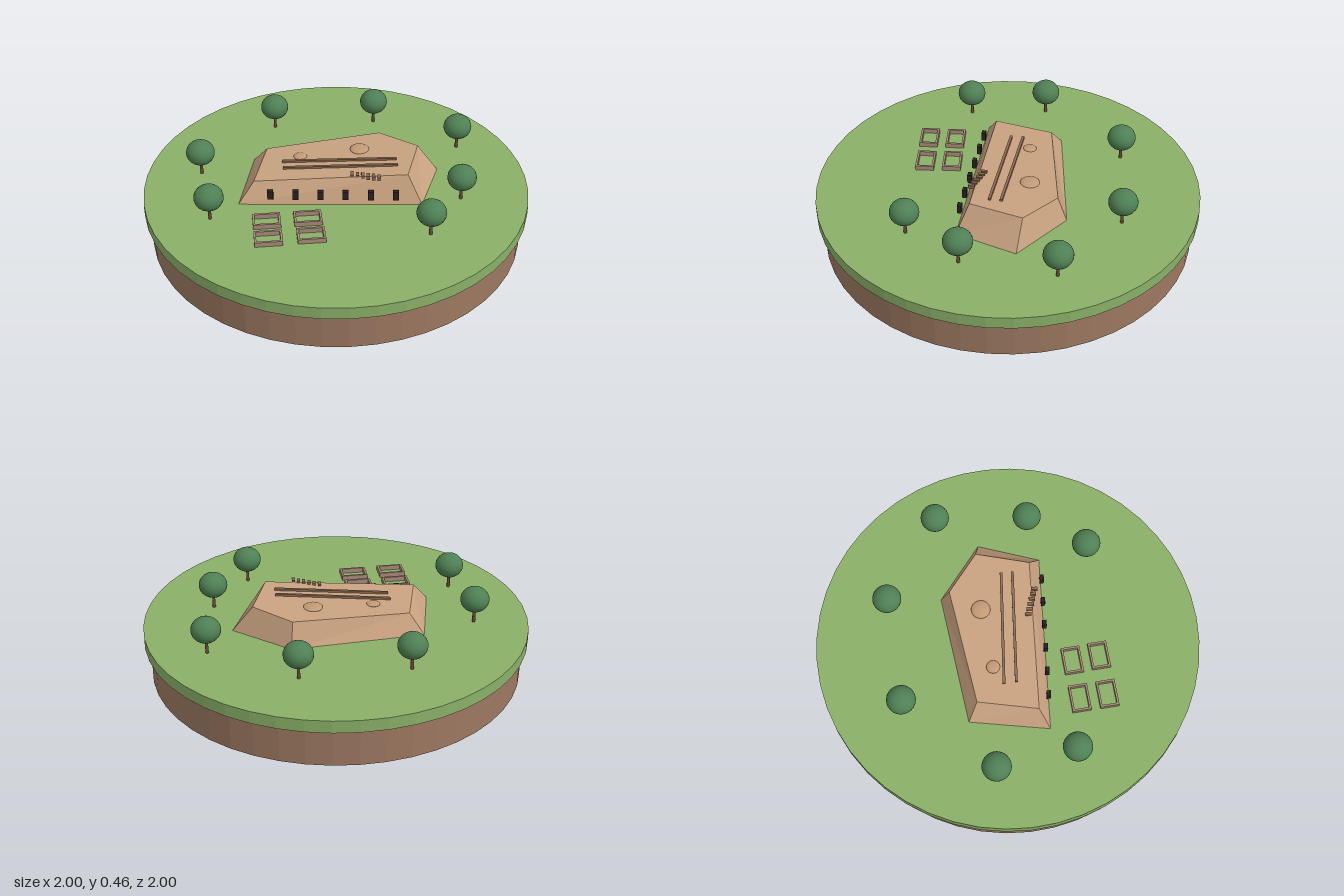
import * as THREE from 'three';

const mat = (name, color, flatShading = false) => {
  const m = new THREE.MeshStandardMaterial({ color, flatShading });
  m.name = name;
  return m;
};

const GROUND = 0.265;
// Gently tilted plane of the mesa top
const topY = (x, z) => 0.388 + 0.035 * x + 0.04 * z;

export function createModel() {
  const root = new THREE.Group();
  root.name = 'mesaVillage';
  const earth = mat('earth', 0x9c7860, true);
  const grass = mat('grass', 0x8ab068, true);
  const stone = mat('sandstone', 0xc8a280, true);
  const dome = mat('clay', 0xc39a76);
  const ridge = mat('darkClay', 0x8c6a50);
  const wall = mat('ruinWall', 0xa88a78);
  const opening = mat('darkOpening', 0x2a2022);
  const leaf = mat('foliage', 0x4f8054);
  const bark = mat('bark', 0x6b4a38);

  const add = (name, geo, material, x, y, z, parent = root) => {
    const m = new THREE.Mesh(geo, material);
    m.name = name;
    m.position.set(x, y, z);
    parent.add(m);
    return m;
  };

  // Round base
  add('earthBase', new THREE.CylinderGeometry(0.97, 0.97, 0.2, 48), earth, 0, 0.1, 0);
  add('grassDisc', new THREE.CylinderGeometry(1, 1, 0.065, 48), grass, 0, 0.2325, 0);

  // Mesa: five-sided block tapering to a tilted top, corners anticlockwise from above
  const foot = [[-0.53, -0.05], [0.31, 0.365], [0.54, 0.12], [0.365, -0.2], [-0.295, -0.395]];
  const rim = [[-0.435, -0.065], [0.27, 0.28], [0.45, 0.06], [0.335, -0.16], [-0.25, -0.32]];
  const pos = [];
  const low = (i) => [foot[i][0], GROUND, foot[i][1]];
  const high = (i) => [rim[i][0], topY(...rim[i]), rim[i][1]];
  for (let i = 0; i < 5; i++) {
    const j = (i + 1) % 5;
    pos.push(...low(i), ...low(j), ...high(j), ...low(i), ...high(j), ...high(i));
    if (i > 0 && i < 4) pos.push(...high(0), ...high(i), ...high(j));
  }
  const mesaGeo = new THREE.BufferGeometry();
  mesaGeo.setAttribute('position', new THREE.Float32BufferAttribute(pos, 3));
  mesaGeo.computeVertexNormals();
  add('mesa', mesaGeo, stone, 0, 0, 0);

  // Two long low walls on the top
  for (const [x1, z1, x2, z2] of [[-0.235, -0.155, 0.29, 0.123], [-0.257, -0.096, 0.267, 0.177]]) {
    const a = new THREE.Vector3(x1, topY(x1, z1), z1);
    const b = new THREE.Vector3(x2, topY(x2, z2), z2);
    const mid = a.clone().add(b).multiplyScalar(0.5);
    const bar = add('longWall', new THREE.BoxGeometry(0.014, 0.022, a.distanceTo(b)), ridge, mid.x, mid.y, mid.z);
    bar.lookAt(b);
  }

  // Flattened round chambers
  for (const [x, z, r] of [[-0.13, -0.16, 0.035], [0.17, -0.065, 0.05]]) {
    add('roundChamber', new THREE.SphereGeometry(r, 24, 16), dome, x, topY(x, z), z).scale.y = 0.3;
  }

  // Row of small steps at the front rim
  for (let i = 0; i < 6; i++) {
    const x = 0.025 + i * 0.021, z = 0.135 + i * 0.019;
    add('step', new THREE.BoxGeometry(0.016, 0.02, 0.032), ridge, x, topY(x, z), z).rotation.y = -0.46;
  }

  // Dark doorways along the front wall
  for (let i = 0; i < 6; i++) {
    const x = -0.383 + i * 0.114;
    add('doorway', new THREE.BoxGeometry(0.03, 0.048, 0.022), opening, x, 0.325, 0.022 + i * 0.0575)
      .rotation.y = -0.46;
  }

  // Four roofless ruins: rectangular frames
  const w = 0.07, d = 0.049, t = 0.011;
  const rect = (C, a, b) => {
    const s = new C();
    s.moveTo(-a, -b);
    s.lineTo(a, -b);
    s.lineTo(a, b);
    s.lineTo(-a, b);
    s.closePath();
    return s;
  };
  const frame = rect(THREE.Shape, w, d);
  frame.holes.push(rect(THREE.Path, w - t, d - t));
  const frameGeo = new THREE.ExtrudeGeometry(frame, { depth: 0.026, bevelEnabled: false });
  frameGeo.rotateX(-Math.PI / 2);
  for (const [x, z] of [[-0.465, 0.16], [-0.27, 0.23], [-0.515, 0.295], [-0.315, 0.365]]) {
    add('ruin', frameGeo, wall, x, GROUND, z).rotation.y = -0.35;
  }

  // Trees
  const trunkGeo = new THREE.CylinderGeometry(0.007, 0.009, 0.09, 8);
  const crownGeo = new THREE.SphereGeometry(0.075, 24, 16).scale(1, 0.89, 1);
  const spots = [[-0.06, -0.65], [0.46, -0.46], [0.745, -0.025], [0.515, 0.405],
    [0.225, 0.6], [-0.705, 0], [-0.595, -0.4]];
  for (const [x, z] of spots) {
    const tree = new THREE.Group();
    tree.name = 'tree';
    tree.position.set(x, GROUND, z);
    add('trunk', trunkGeo, bark, 0, 0.045, 0, tree);
    add('crown', crownGeo, leaf, 0, 0.13, 0, tree);
    root.add(tree);
  }
  return root;
}
